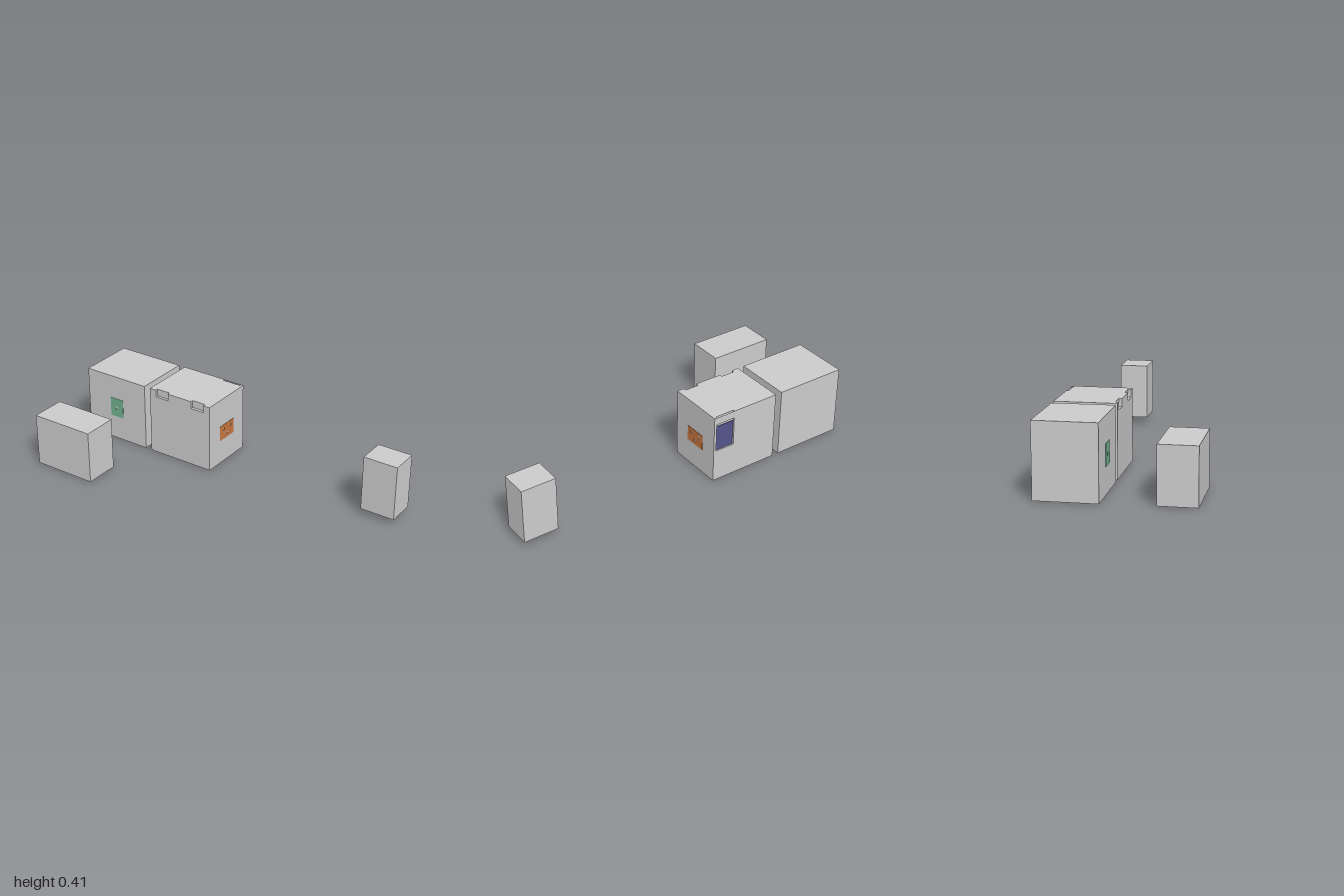
import * as THREE from 'three';

const material = (color = 0xcccccc) =>
  new THREE.MeshStandardMaterial({ color, flatShading: true, side: THREE.DoubleSide });

const grey = material();

export function createModel() {
  const model = new THREE.Group();

  const add = (name, geometry, mat = grey, parent = model) => {
    const mesh = new THREE.Mesh(geometry, mat);
    mesh.name = name;
    parent.add(mesh);
    return mesh;
  };

  // Box given by its lower and upper corner
  const block = (name, [x0, y0, z0], [x1, y1, z1], mat, parent) => {
    const g = new THREE.BoxGeometry(x1 - x0, y1 - y0, z1 - z0);
    g.translate((x0 + x1) / 2, (y0 + y1) / 2, (z0 + z1) / 2);
    return add(name, g, mat, parent);
  };

  // Thin rectangular patch centred on its origin, with small square holes
  const patch = (name, w, h, color, holes = []) => {
    const s = new THREE.Shape();
    s.moveTo(-w / 2, -h / 2).lineTo(w / 2, -h / 2).lineTo(w / 2, h / 2).lineTo(-w / 2, h / 2);
    for (const [x, y, a, b] of holes) {
      const p = new THREE.Path();
      p.moveTo(x, y).lineTo(x, y + b).lineTo(x + a, y + b).lineTo(x + a, y);
      s.holes.push(p);
    }
    return add(name, new THREE.ExtrudeGeometry(s, { depth: 0.002, bevelEnabled: false }), material(color));
  };

  // Plain boxes
  block('largeBox', [-1, 0, -0.41], [-0.585, 0.403, -0.075]);
  block('frontBox', [-0.985, 0, 0.205], [-0.605, 0.307, 0.41]);
  block('raisedBox', [0.8, 0.035, -0.325], [1, 0.355, -0.163]);

  // Notched box: stacked footprints with notches cut in from front and back
  const X0 = -0.545, X1 = -0.13, FRONT = -0.075, BACK = -0.41;
  const notchedBox = new THREE.Group();
  notchedBox.name = 'notchedBox';
  model.add(notchedBox);
  const layer = (name, y0, y1, front, back) => {
    const s = new THREE.Shape();
    s.moveTo(X0, -FRONT);
    for (const [a, b, d] of front) {
      s.lineTo(a, -FRONT).lineTo(a, -FRONT + d).lineTo(b, -FRONT + d).lineTo(b, -FRONT);
    }
    s.lineTo(X1, -FRONT).lineTo(X1, -BACK);
    for (const [a, b, d] of back) {
      s.lineTo(b, -BACK).lineTo(b, -BACK - d).lineTo(a, -BACK - d).lineTo(a, -BACK);
    }
    s.lineTo(X0, -BACK);
    const g = new THREE.ExtrudeGeometry(s, { depth: y1 - y0, bevelEnabled: false });
    g.rotateX(-Math.PI / 2).translate(0, y0, 0);
    add(name, g, grey, notchedBox);
  };
  const small = [-0.503, -0.418, 0.017];
  const slot = [-0.262, -0.145, 0.012];
  layer('lowerBody', 0, 0.19, [], []);
  layer('slottedBody', 0.19, 0.36, [], [slot]);
  layer('notchedRim', 0.36, 0.403, [small, [-0.257, -0.172, 0.017]], [small, slot]);

  // Blue panel inside the back slot
  block('slotPanel', [-0.26, 0.19, -0.402], [-0.147, 0.34, -0.396], material(0x55558c));

  // Green patch on the front of the large box
  patch('greenPatch', 0.09, 0.117, 0x70b08c, [[-0.008, -0.01, 0.014, 0.018]])
    .position.set(-0.793, 0.203, -0.075);

  // Orange patch on the left side of the notched box
  const side = patch('orangePatch', 0.133, 0.09, 0xc87840,
    [[-0.04, 0.012, 0.014, 0.014], [0.026, 0.012, 0.014, 0.014], [-0.012, -0.022, 0.024, 0.01]]);
  side.rotation.y = Math.PI / 2;
  side.position.set(X1, 0.19, -0.243);

  // Dark patch underneath the large box
  const under = patch('darkPatch', 0.155, 0.118, 0x303030);
  under.rotation.x = Math.PI / 2;
  under.position.set(-0.782, 0, -0.254);

  // Coloured slivers underneath the notched box, as x, z corners
  const sliver = (name, corners, color) => {
    const s = new THREE.Shape(corners.map(([x, z]) => new THREE.Vector2(x, z)));
    const g = new THREE.ShapeGeometry(s);
    g.rotateX(Math.PI / 2).translate(0, -0.001, 0);
    add(name, g, material(color));
  };
  sliver('blueSliver', [[-0.165, -0.11], [-0.25, -0.305], [-0.26, -0.12]], 0x55558c);
  sliver('orangeSliver', [[-0.325, -0.2], [-0.535, -0.165], [-0.525, -0.25]], 0xc87840);

  return model;
}
